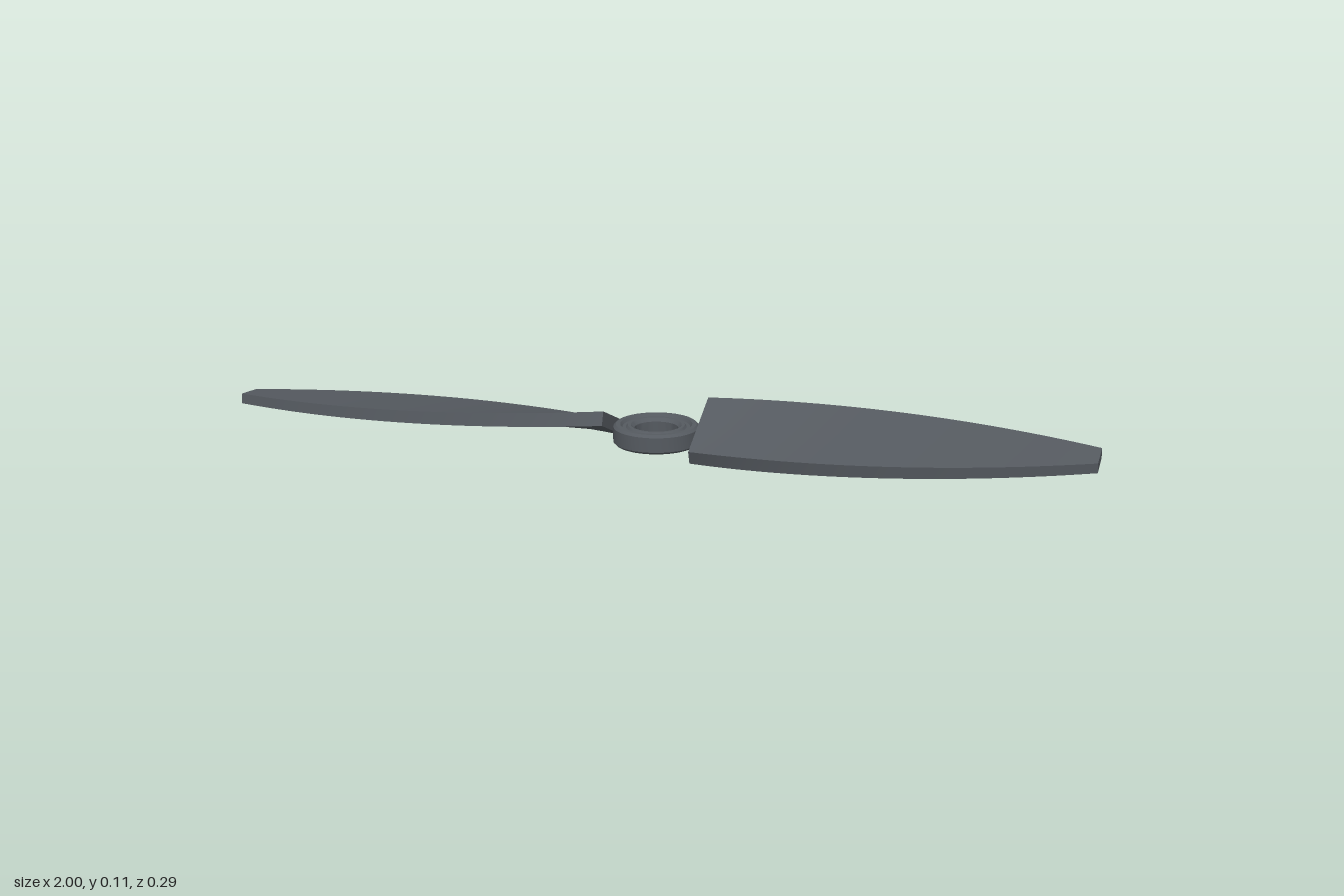
import * as THREE from 'three';
import { toCreasedNormals } from 'three/addons/utils/BufferGeometryUtils.js';

const ROOT = 0.1, TIP = 1, MID_Y = 0.054;
const material = new THREE.MeshStandardMaterial({ color: 0x555a60 });

// A box bent into a twisted, bow-sided blade running along +x
function bladeGeometry() {
  const geometry = new THREE.BoxGeometry(1, 1, 1, 32, 1, 2);
  const pos = geometry.attributes.position;
  for (let i = 0; i < pos.count; i++) {
    const t = pos.getX(i) + 0.5;
    const x = THREE.MathUtils.lerp(ROOT, TIP, t);
    const halfWidth = 0.145 - 0.36 * (x - 0.47) ** 2;
    const rise = THREE.MathUtils.lerp(0.038, 0.0055, t);
    const thickness = THREE.MathUtils.lerp(0.033, 0.023, t);
    const angle = Math.atan2(rise, halfWidth);
    const u = pos.getZ(i) * 2, v = pos.getY(i) * thickness;
    // the back edge is raised, the front edge lowered
    pos.setXYZ(i, x, MID_Y - u * rise + v * Math.cos(angle),
      u * (halfWidth - 0.003) + v * Math.sin(angle));
  }
  geometry.computeVertexNormals();
  return geometry;
}

// Ring with a rounded rim and a groove in the top
function hubGeometry() {
  const profile = [
    [0.05, 0.017], [0.093, 0.017], [0.098, 0.022], [0.098, 0.056],
    [0.092, 0.062], [0.082, 0.062], [0.077, 0.055], [0.069, 0.055],
    [0.065, 0.06], [0.058, 0.06], [0.05, 0.052], [0.05, 0.017],
  ].map(([r, y]) => new THREE.Vector2(r, y));
  return toCreasedNormals(new THREE.LatheGeometry(profile, 48), 0.5);
}

export function createModel() {
  const propeller = new THREE.Group();
  propeller.name = 'propeller';

  const hub = new THREE.Mesh(hubGeometry(), material);
  hub.name = 'hub';
  propeller.add(hub);

  // Two identical blades, half a turn apart
  const geometry = bladeGeometry();
  ['leftBlade', 'rightBlade'].forEach((name, i) => {
    const blade = new THREE.Mesh(geometry, material);
    blade.name = name;
    blade.rotation.y = i * Math.PI;
    propeller.add(blade);
  });
  return propeller;
}
